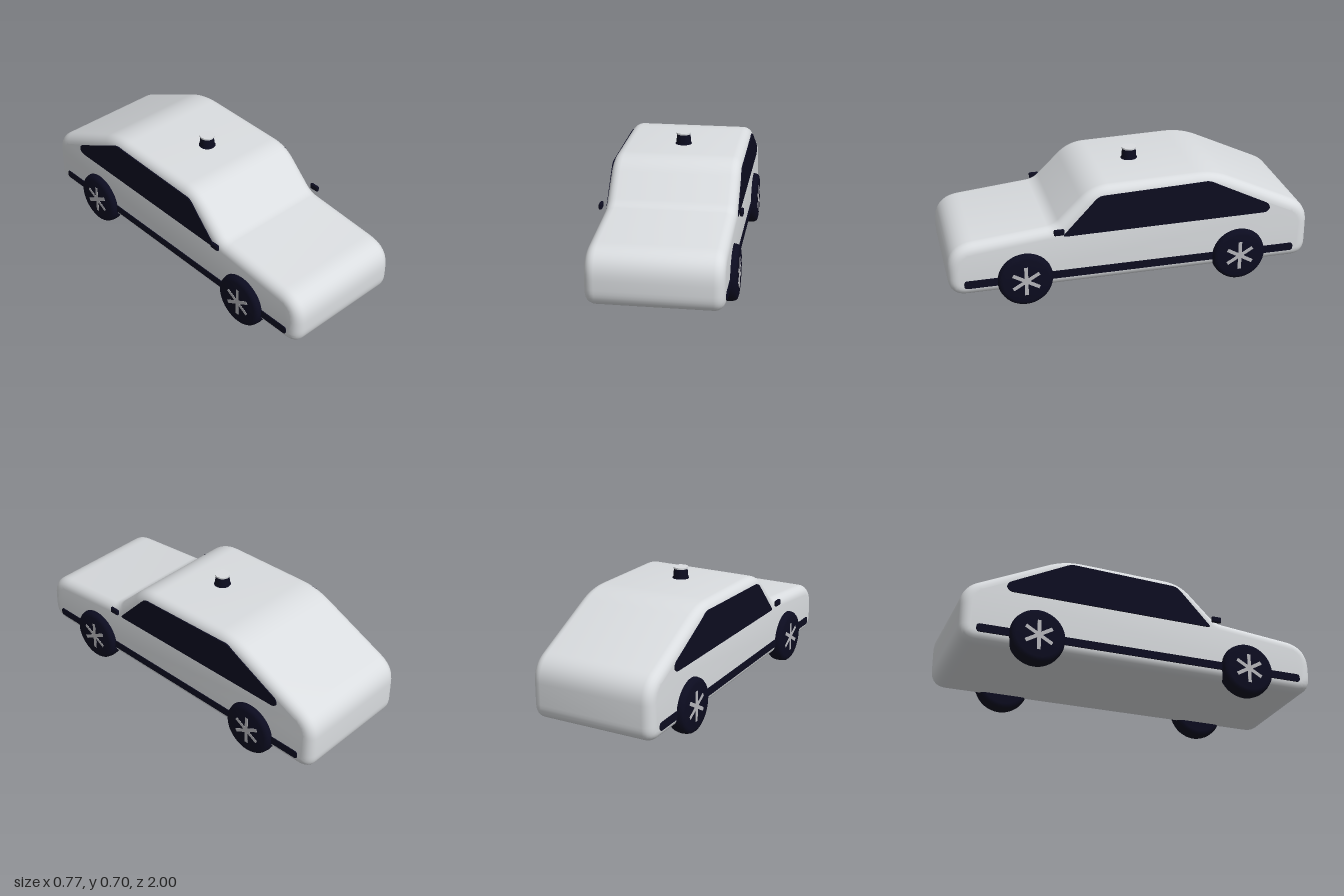
import * as THREE from 'three';
import { toCreasedNormals } from 'three/addons/utils/BufferGeometryUtils.js';
import { RoundedBoxGeometry } from 'three/addons/geometries/RoundedBoxGeometry.js';

const material = (name, color) => {
  const m = new THREE.MeshStandardMaterial({ color });
  m.name = name;
  return m;
};

// Closed side outline from [z, y, cornerCut] points, each corner rounded
function roundedShape(points) {
  const shape = new THREE.Shape();
  const n = points.length;
  points.forEach(([z, y, cut], i) => {
    const toward = ([tz, ty]) => {
      const d = Math.hypot(tz - z, ty - y);
      return [z + (tz - z) * cut / d, y + (ty - y) * cut / d];
    };
    const start = toward(points[(i + n - 1) % n]);
    const end = toward(points[(i + 1) % n]);
    if (i === 0) shape.moveTo(...start);
    else shape.lineTo(...start);
    shape.quadraticCurveTo(z, y, ...end);
  });
  shape.closePath();
  return shape;
}

// Extrude a side outline across the car, centred on x = 0
function extrudeAcross(points, width, bevel, segments) {
  const geo = new THREE.ExtrudeGeometry(roundedShape(points), {
    depth: width - 2 * bevel,
    bevelEnabled: bevel > 0,
    bevelThickness: bevel,
    bevelSize: bevel,
    bevelOffset: -bevel,
    bevelSegments: 6,
    curveSegments: segments,
  });
  geo.translate(0, 0, -(width - 2 * bevel) / 2);
  geo.rotateY(-Math.PI / 2);
  return toCreasedNormals(geo, 0.6);
}

const lathe = (points, segments) => toCreasedNormals(
  new THREE.LatheGeometry(points.map(([r, y]) => new THREE.Vector2(r, y)), segments), 0.7);

export function createModel() {
  const car = new THREE.Group();
  car.name = 'car';
  const paint = material('whitePaint', 0xdadde0);
  const dark = material('darkTrim', 0x0c0c20);
  const metal = material('spokeGrey', 0xb6b6bb);

  const add = (name, geo, mat, parent = car) => {
    const mesh = new THREE.Mesh(geo, mat);
    mesh.name = name;
    parent.add(mesh);
    return mesh;
  };

  // Body shell with soft edges
  add('body', extrudeAcross([
    [-1, 0.08, 0.09], [1, 0.08, 0.1], [1, 0.37, 0.14], [0.43, 0.425, 0.04],
    [0.22, 0.63, 0.09], [-0.45, 0.645, 0.1], [-1, 0.385, 0.1],
  ], 0.7, 0.055, 10), paint);

  // Side windows and sill stripes
  const windowGeo = extrudeAcross([
    [-0.76, 0.385, 0.03], [0.39, 0.374, 0.02], [0.19, 0.586, 0.03],
    [-0.42, 0.606, 0.025], [-0.77, 0.43, 0.03],
  ], 0.0095, 0, 5);
  const stripeGeo = extrudeAcross([
    [-0.915, 0.13, 0.018], [0.92, 0.13, 0.018], [0.92, 0.174, 0.018], [-0.915, 0.174, 0.018],
  ], 0.0095, 0, 5);

  // Tyre cross-section spun round its axle
  const tyreGeo = lathe([
    [0, -0.048], [0.122, -0.048], [0.137, -0.044], [0.145, -0.034], [0.149, -0.016], [0.15, 0],
    [0.149, 0.016], [0.145, 0.034], [0.137, 0.044], [0.122, 0.048], [0, 0.048],
  ], 40);
  tyreGeo.rotateZ(-Math.PI / 2);
  const spokeGeo = new THREE.BoxGeometry(0.006, 0.165, 0.02);
  const mirrorGeo = new RoundedBoxGeometry(0.017, 0.034, 0.056, 3, 0.007);

  for (const [side, s] of [['left', 1], ['right', -1]]) {
    add(side + 'Windows', windowGeo, dark).position.x = s * 0.3505;
    add(side + 'Stripe', stripeGeo, dark).position.x = s * 0.3505;
    add(side + 'Mirror', mirrorGeo, dark).position.set(s * 0.375, 0.413, 0.412);

    for (const [end, z] of [['Front', 0.595], ['Rear', -0.595]]) {
      const wheel = new THREE.Group();
      wheel.name = side + end + 'Wheel';
      wheel.position.set(s * 0.336, 0.15, z);
      add('tyre', tyreGeo, dark, wheel);
      for (let i = 0; i < 3; i++) {
        const spoke = add('spoke', spokeGeo, metal, wheel);
        spoke.position.x = s * 0.0465;
        spoke.rotation.x = i * Math.PI / 3;
      }
      car.add(wheel);
    }
  }

  // Roof beacon: flanged base with a pale cap
  const beacon = new THREE.Group();
  beacon.name = 'roofBeacon';
  beacon.position.set(0, 0.63, -0.06);
  add('beaconBase', lathe([
    [0, 0], [0.046, 0], [0.046, 0.007], [0.042, 0.009], [0.037, 0.062], [0, 0.062],
  ], 32), dark, beacon);
  add('beaconCap', lathe([
    [0, 0.061], [0.041, 0.061], [0.041, 0.07], [0, 0.07],
  ], 32), paint, beacon);
  car.add(beacon);

  return car;
}
